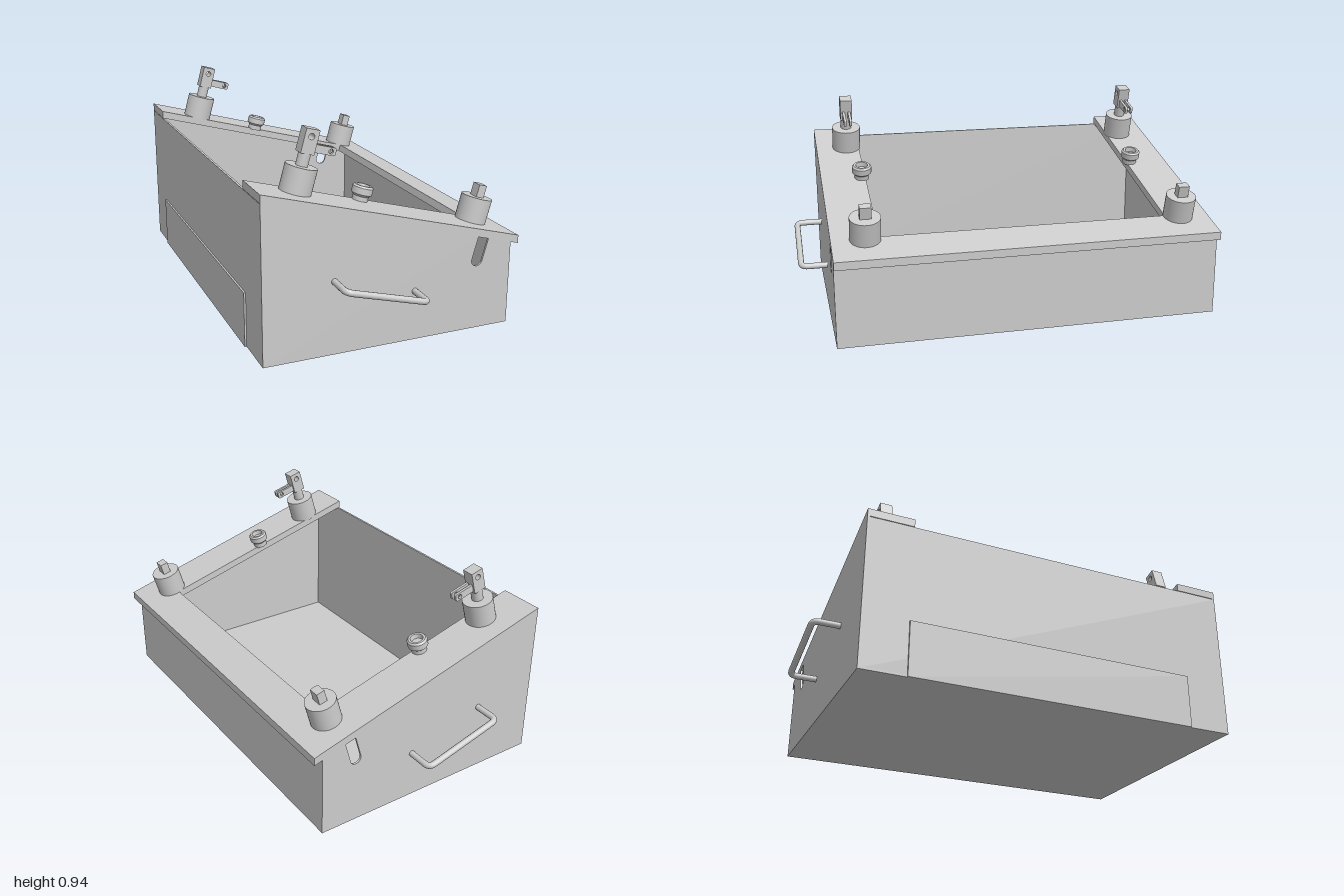
import * as THREE from 'three';

const X0 = -0.585, X1 = 0.552, LIP = 0.59, ZW = 0.868, T = 0.01, RIM = 0.036;
const SLOPE = 0.2783, A = Math.atan(SLOPE);
const top = x => 0.727 - SLOPE * (x - X0);
const under = x => top(x) - RIM;
const mat = new THREE.MeshStandardMaterial({ color: 0xcccccc, side: THREE.DoubleSide });

function part(name, geo, x = 0, y = 0, z = 0) {
  const m = new THREE.Mesh(geo, mat);
  m.name = name;
  m.position.set(x, y, z);
  return m;
}

function box(name, x0, x1, y0, y1, z0, z1) {
  return part(name, new THREE.BoxGeometry(x1 - x0, y1 - y0, z1 - z0), (x0 + x1) / 2, (y0 + y1) / 2, (z0 + z1) / 2);
}

// extrusion along z, centred on z = 0
function plate(shape, depth) {
  return new THREE.ExtrudeGeometry(shape, { depth, bevelEnabled: false, curveSegments: 16 }).translate(0, 0, -depth / 2);
}

function hole(shape, x, y, r) {
  shape.holes.push(new THREE.Path().absarc(x, y, r, 0, Math.PI * 2, true));
  return shape;
}

// trapezoid side wall with a tilted, round-ended slot below the rim
function sideWallShape() {
  const cx = 0.387, cy = 0.315, r = 0.026, c = Math.cos(A), s = Math.sin(A);
  const len = (under(cx) - cy) * c;
  const at = (across, along) => [cx + across * c + along * s, cy - across * s + along * c];
  const p = new THREE.Shape();
  p.moveTo(X0, 0);
  p.lineTo(X1, 0);
  p.lineTo(X1, under(X1));
  p.lineTo(...at(r, len));
  p.lineTo(...at(r, 0));
  p.absarc(cx, cy, r, -A, -A - Math.PI, true);
  p.lineTo(...at(-r, len));
  p.lineTo(X0, under(X0));
  p.closePath();
  return p;
}

// U-shaped sloping rim, open at the high end
function rimGeometry() {
  const zi = 0.66, xi = 0.425;
  const pts = [[X0, -ZW], [LIP, -ZW], [LIP, ZW], [X0, ZW], [X0, zi], [xi, zi], [xi, -zi], [X0, -zi]];
  const g = new THREE.ExtrudeGeometry(new THREE.Shape(pts.map(p => new THREE.Vector2(...p))), { depth: RIM, bevelEnabled: false });
  g.rotateX(Math.PI / 2);
  const p = g.attributes.position;
  for (let i = 0; i < p.count; i++) {
    let x = p.getX(i);
    const y = p.getY(i);
    if (y < -RIM / 2 && Math.abs(x - xi) < 0.001) x -= 0.01;
    p.setXYZ(i, x, y + top(x), p.getZ(i));
  }
  g.computeVertexNormals();
  return g;
}

// group standing square on the sloping rim
function onRim(name, x, z, parts) {
  const g = new THREE.Group();
  g.name = name;
  g.position.set(x, top(x), z);
  g.rotation.z = -A;
  g.add(...parts);
  return g;
}

const base = () => part('fittingBase', new THREE.CylinderGeometry(0.068, 0.068, 0.114, 40), 0, 0.053, 0);

function clampParts() {
  const block = new THREE.Shape();
  block.moveTo(-0.03, 0.163);
  block.lineTo(0.03, 0.163);
  block.lineTo(0.03, 0.266);
  block.lineTo(-0.03, 0.266);
  block.closePath();
  hole(block, 0, 0.236, 0.013);

  // lever prong with softened outer corners
  const prong = new THREE.Shape(), h = 0.017, e = 0.125, r = 0.008, y = 0.19;
  prong.moveTo(0.02, y - h);
  prong.lineTo(e - r, y - h);
  prong.quadraticCurveTo(e, y - h, e, y - h + r);
  prong.lineTo(e, y + h - r);
  prong.quadraticCurveTo(e, y + h, e - r, y + h);
  prong.lineTo(0.02, y + h);
  prong.closePath();
  hole(prong, 0.103, y, 0.01);

  return [
    base(),
    part('clampPost', new THREE.CylinderGeometry(0.026, 0.026, 0.07, 24), 0, 0.137, 0),
    part('clampBlock', plate(block, 0.056)),
    ...[-1, 1].map(s => part('leverProng', plate(prong, 0.012), 0, 0, s * 0.013)),
  ];
}

function knobGeometry() {
  const profile = [[0.034, -0.004], [0.034, 0.02], [0.045, 0.03], [0.045, 0.058], [0.038, 0.066], [0.028, 0.066], [0.024, 0.045], [0, 0.045]];
  // separate bands keep the turned edges crisp
  return profile.slice(1).map((p, i) => new THREE.LatheGeometry([new THREE.Vector2(...profile[i]), new THREE.Vector2(...p)], 36));
}

// bent-rod handle, running parallel to the slope
function handleGeometry(side) {
  const v = (x, z) => new THREE.Vector3(x, 0, z * side);
  const h = 0.19, z0 = ZW - 0.005, z1 = 0.986, b = 0.03;
  const path = new THREE.CurvePath();
  path.add(new THREE.LineCurve3(v(-h, z0), v(-h, z1 - b)));
  path.add(new THREE.QuadraticBezierCurve3(v(-h, z1 - b), v(-h, z1), v(-h + b, z1)));
  path.add(new THREE.LineCurve3(v(-h + b, z1), v(h - b, z1)));
  path.add(new THREE.QuadraticBezierCurve3(v(h - b, z1), v(h, z1), v(h, z1 - b)));
  path.add(new THREE.LineCurve3(v(h, z1 - b), v(h, z0)));
  return new THREE.TubeGeometry(path, 90, 0.014, 14);
}

export function createModel() {
  const model = new THREE.Group();
  model.name = 'slopedBox';

  // open box
  model.add(
    box('floor', X0, X1, 0, T, -ZW, ZW),
    box('highWall', X0, X0 + T, 0, under(X0 + T), -ZW, ZW),
    box('lowWall', X1 - T, X1, 0, under(X1), -ZW, ZW),
    box('outerPanel', X0 - 0.008, X0, 0, 0.245, -0.665, 0.665),
    part('rim', rimGeometry()),
  );

  // parts repeated on both sides
  for (const s of [-1, 1]) {
    model.add(part('sideWall', plate(sideWallShape(), T), 0, 0, s * (ZW - T / 2)));
    model.add(onRim('clamp', -0.387, s * 0.72, clampParts()));
    model.add(onRim('peg', 0.435, s * 0.72, [base(), box('pegPin', -0.019, 0.019, 0.1, 0.165, -0.025, 0.025)]));
    model.add(onRim('knob', -0.08, s * 0.677, knobGeometry().map(g => part('knobBand', g))));
    const handle = part('handle', handleGeometry(s), -0.092, 0.272, 0);
    handle.rotation.z = -A;
    model.add(handle);
  }
  return model;
}
